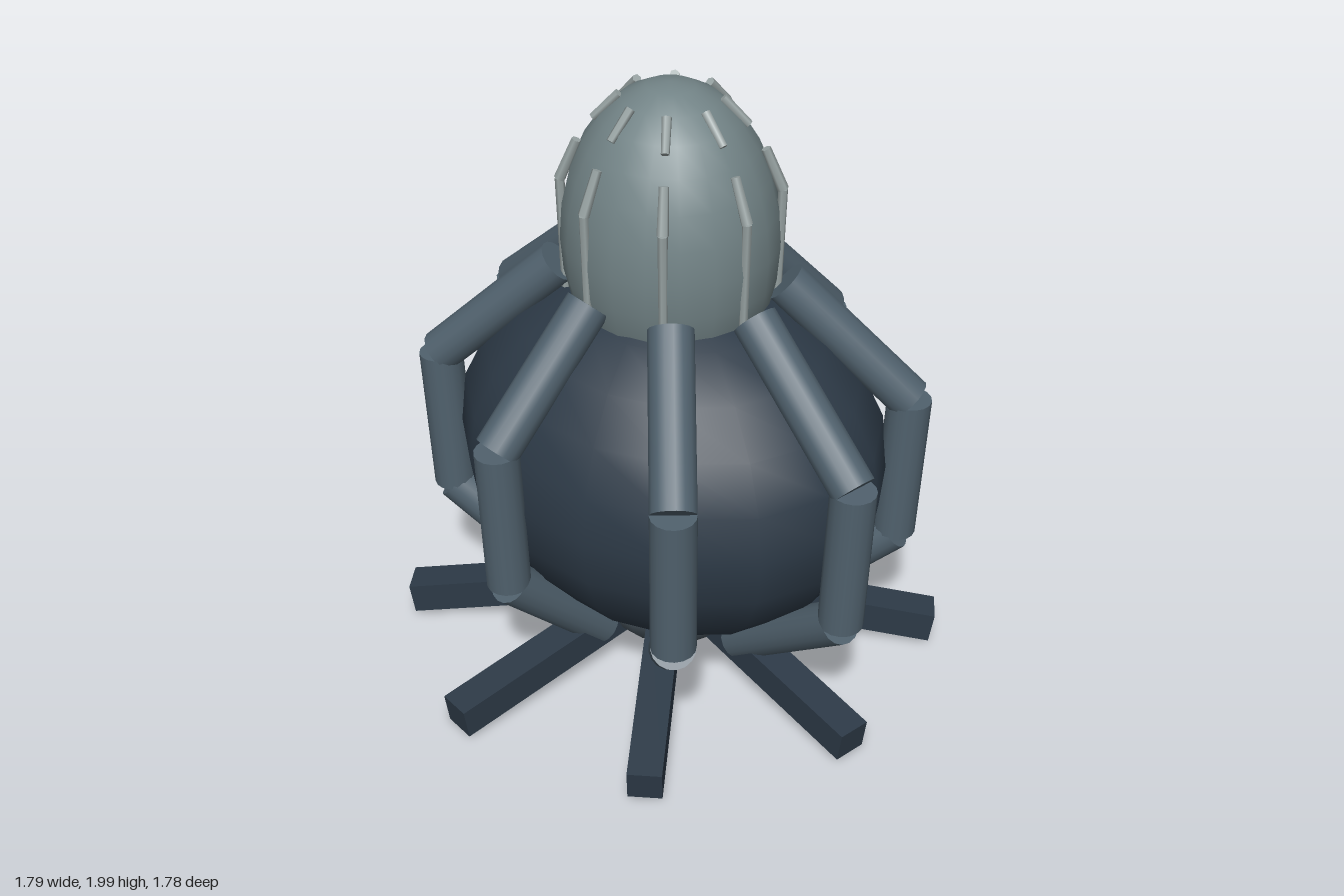
import * as THREE from 'three';

const paint = (color) => new THREE.MeshStandardMaterial({ color });
const shellPaint = paint(0x2d3a47);
const limbPaint = paint(0x50616d);
const domePaint = paint(0x738487);
const ribPaint = paint(0x98a3a3);
const hubPaint = paint(0x4a565f);

function ellipsoid(name, material, y, rx, ry, rz, sides = 16, rings = 12) {
  const mesh = new THREE.Mesh(new THREE.SphereGeometry(1, sides, rings), material);
  mesh.name = name;
  mesh.scale.set(rx, ry, rz);
  mesh.position.y = y;
  return mesh;
}

// Straight rod from a to b, with a radius at each end
function rod(name, material, a, b, ra, rb, sides) {
  const axis = b.clone().sub(a);
  const mesh = new THREE.Mesh(new THREE.CylinderGeometry(rb, ra, axis.length(), sides), material);
  mesh.name = name;
  mesh.position.copy(a).add(b).multiplyScalar(0.5);
  mesh.quaternion.setFromUnitVectors(new THREE.Vector3(0, 1, 0), axis.normalize());
  return mesh;
}

export function createModel() {
  const model = new THREE.Group();
  model.name = 'tentacledMachine';

  // Round body, domed head and underside hub
  model.add(ellipsoid('body', shellPaint, 0.77, 0.76, 0.6, 0.63));
  model.add(ellipsoid('headDome', domePaint, 1.5, 0.345, 0.5, 0.33, 20, 14));
  model.add(ellipsoid('undersideHub', hubPaint, 0.26, 0.32, 0.25, 0.3));

  // Profiles as [x reach, z reach, height]
  const limbPath = [[0.384, 0.32, 1.372], [0.825, 0.675, 1.0], [0.802, 0.655, 0.5], [0.35, 0.3, 0.15]];
  const limbNames = ['upperTentacle', 'middleTentacle', 'lowerTentacle'];
  const ribs = [
    [[0.155, 0.15, 1.955], [0.235, 0.225, 1.875]],
    [[0.287, 0.275, 1.8], [0.342, 0.328, 1.67]],
    [[0.342, 0.328, 1.67], [0.334, 0.32, 1.3]],
  ];

  for (let i = 0; i < 8; i++) {
    const angle = (i * Math.PI) / 4;
    const c = Math.cos(angle), s = Math.sin(angle);
    const at = ([rx, rz, y]) => new THREE.Vector3(rx * c, y, rz * s);

    // Three-part tentacle
    const tentacle = new THREE.Group();
    tentacle.name = 'tentacle';
    limbNames.forEach((name, k) => {
      tentacle.add(rod(name, limbPaint, at(limbPath[k]), at(limbPath[k + 1]), 0.07, 0.07, 16));
    });
    model.add(tentacle);

    // Raised ribs on the dome
    ribs.forEach(([a, b], k) => {
      model.add(rod('domeRib', ribPaint, at(a), at(b), 0.015, k === 1 ? 0.018 : 0.013, 6));
    });

    // Sloping square foot
    const foot = new THREE.Group();
    foot.name = 'foot';
    foot.rotation.y = -angle;
    const bar = new THREE.Mesh(new THREE.BoxGeometry(0.7, 0.105, 0.108), shellPaint);
    bar.name = 'footBar';
    bar.position.set(0.536, 0.125, 0);
    bar.rotation.z = -0.148;
    foot.add(bar);
    model.add(foot);
  }
  return model;
}
